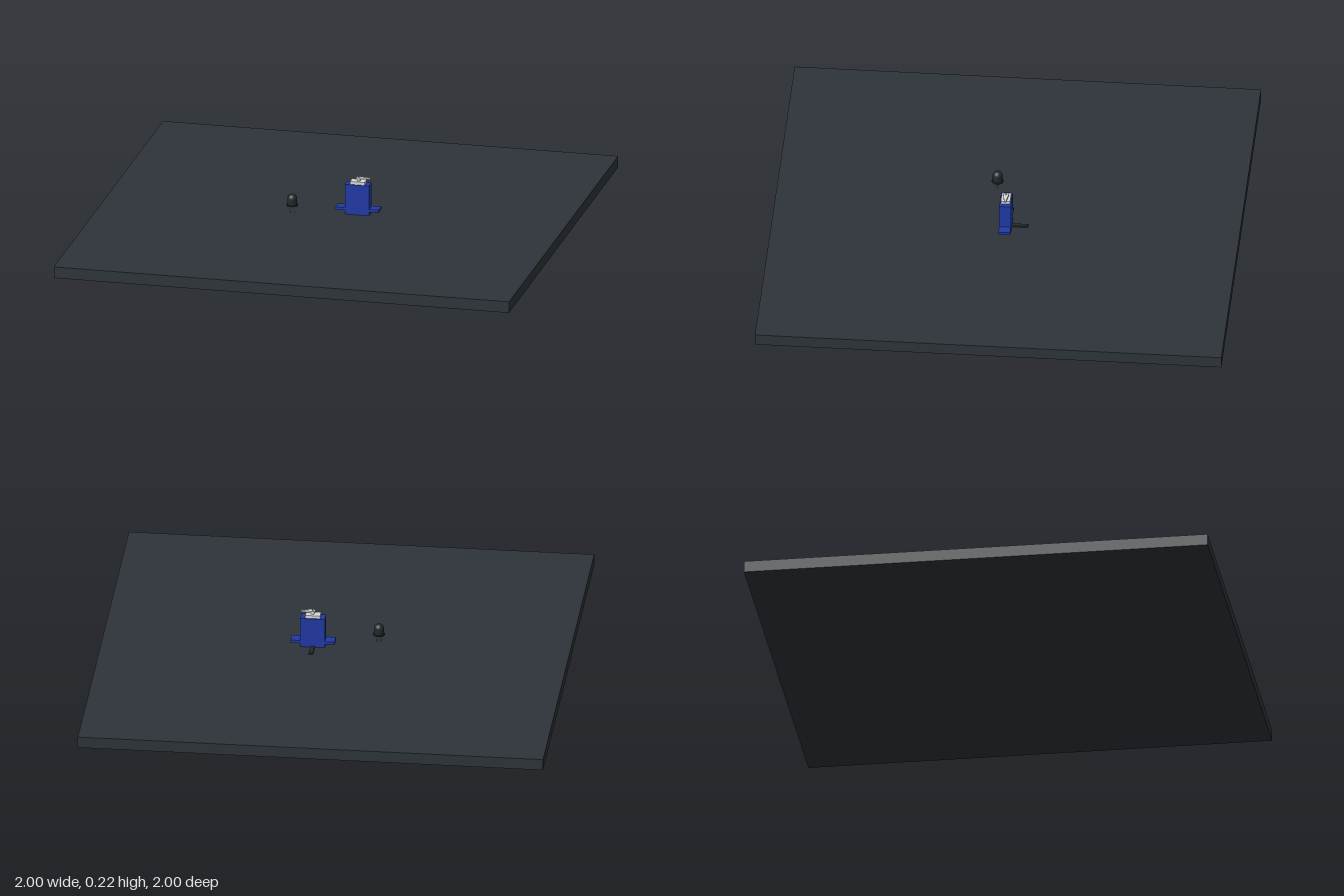
import * as THREE from 'three';

const material = (name, color) => {
  const m = new THREE.MeshStandardMaterial({ color });
  m.name = name;
  return m;
};

export function createModel() {
  const slate = material('slate', 0x2d3439);
  const blue = material('servo blue', 0x2039a6);
  const white = material('off white', 0xdcdcdc);
  const metal = material('lead metal', 0xa8acb0);
  const black = material('lamp black', 0x25292c);

  const model = new THREE.Group();
  model.name = 'servoAndLampOnBase';

  const add = (parent, name, geometry, mat, x = 0, y = 0, z = 0) => {
    const mesh = new THREE.Mesh(geometry, mat);
    mesh.name = name;
    mesh.position.set(x, y, z);
    parent.add(mesh);
    return mesh;
  };
  const box = (w, h, d) => new THREE.BoxGeometry(w, h, d);
  const cylinder = (r, h, n = 24) => new THREE.CylinderGeometry(r, r, h, n);

  // Base plate
  add(model, 'basePlate', box(2, 0.05, 2), slate, 0, 0.025, 0);

  // Servo: case, mounting ears, gear cover, shaft and horn
  const servo = new THREE.Group();
  servo.name = 'servo';
  servo.position.set(0.098, 0.05, 0);
  model.add(servo);
  add(servo, 'servoCase', box(0.106, 0.134, 0.05), blue, 0, 0.067, 0);
  for (const side of [-1, 1]) {
    add(servo, 'mountingEar', box(0.042, 0.012, 0.05), blue, side * 0.074, 0.023, 0);
  }
  add(servo, 'gearCover', box(0.064, 0.013, 0.04), white, 0, 0.1405, 0);
  add(servo, 'outputShaft', cylinder(0.007, 0.012), white, 0.002, 0.153, 0);

  // Horn: round hub with a tapered arm toward +x
  const hornShape = new THREE.Shape();
  hornShape.absarc(0, 0, 0.012, Math.PI * 0.42, Math.PI * 1.58, false);
  hornShape.lineTo(0.048, -0.004);
  hornShape.absarc(0.048, 0, 0.004, -Math.PI / 2, Math.PI / 2, false);
  hornShape.closePath();
  const hornGeometry = new THREE.ExtrudeGeometry(hornShape, {
    depth: 0.007, bevelEnabled: false, curveSegments: 12,
  }).rotateX(-Math.PI / 2);
  add(servo, 'servoHorn', hornGeometry, white, 0.002, 0.156, 0);
  add(servo, 'hornScrew', cylinder(0.004, 0.003, 16), metal, 0.002, 0.1645, 0);

  // Cable lying on the base behind the case
  add(servo, 'cable', box(0.018, 0.006, 0.07), black, 0, 0.003, -0.06);

  // Lamp: rimmed dome on two leads
  const lamp = new THREE.Group();
  lamp.name = 'lamp';
  lamp.position.set(-0.178, 0.05, 0.06);
  model.add(lamp);
  add(lamp, 'lampRim', cylinder(0.025, 0.006, 32), black, 0, 0.036, 0);
  add(lamp, 'lampBody', cylinder(0.021, 0.028, 32), black, 0, 0.05, 0);
  add(lamp, 'lampDome',
    new THREE.SphereGeometry(0.021, 32, 12, 0, Math.PI * 2, 0, Math.PI / 2), black, 0, 0.064, 0);
  for (const side of [-1, 1]) {
    add(lamp, 'lampLead', cylinder(0.0025, 0.036, 10), metal, side * 0.009, 0.018, 0);
  }

  return model;
}
